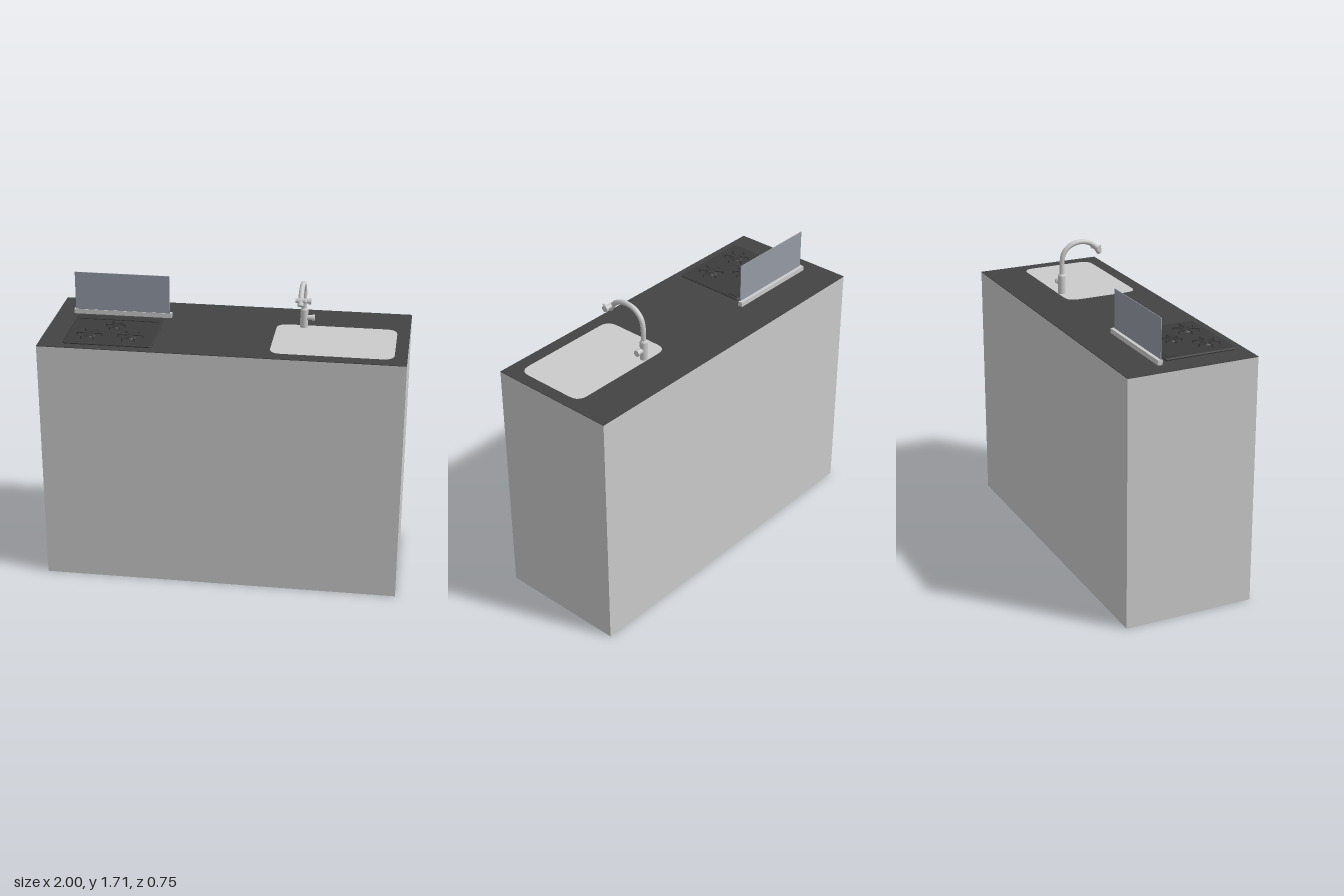
import * as THREE from 'three';

const mat = (color) => new THREE.MeshStandardMaterial({ color });
const grey = mat(0xcccccc);
const dark = mat(0x434343);
const black = mat(0x3c3c3c);
const glass = mat(0x959ba6);
const TOP = 1.41; // worktop height

function add(parent, name, geometry, material, x = 0, y = 0, z = 0) {
  const mesh = new THREE.Mesh(geometry, material);
  mesh.name = name;
  mesh.position.set(x, y, z);
  parent.add(mesh);
  return mesh;
}

// Rounded rectangle path in plan; plan y is -z
function roundedRect(path, x0, x1, z0, z1, r) {
  const y0 = -z1, y1 = -z0;
  path.moveTo(x0 + r, y0);
  path.lineTo(x1 - r, y0).quadraticCurveTo(x1, y0, x1, y0 + r);
  path.lineTo(x1, y1 - r).quadraticCurveTo(x1, y1, x1 - r, y1);
  path.lineTo(x0 + r, y1).quadraticCurveTo(x0, y1, x0, y1 - r);
  path.lineTo(x0, y0 + r).quadraticCurveTo(x0, y0, x0 + r, y0);
  return path;
}

const slab = (shape, depth, options = {}) =>
  new THREE.ExtrudeGeometry(shape, { depth, bevelEnabled: false, curveSegments: 5, ...options }).rotateX(-Math.PI / 2);

// Cylinder along x or y
function rod(radius, length, alongX = false) {
  const g = new THREE.CylinderGeometry(radius, radius, length, 16);
  return alongX ? g.rotateZ(Math.PI / 2) : g;
}

function createBurner(x, z, radius) {
  const burner = new THREE.Group();
  burner.name = 'burner';
  burner.position.set(x, TOP + 0.012, z);
  add(burner, 'burnerRing', new THREE.CylinderGeometry(radius * 0.4, radius * 0.48, 0.006, 20), black, 0, 0.003, 0);
  add(burner, 'burnerCap', new THREE.CylinderGeometry(radius * 0.26, radius * 0.3, 0.006, 20), black, 0, 0.009, 0);
  // Six-armed pan support with a foot under each arm
  for (let i = 0; i < 6; i++) {
    const arm = new THREE.Group();
    arm.name = 'panSupport';
    arm.rotation.y = (i * Math.PI) / 3;
    add(arm, 'supportArm', new THREE.BoxGeometry(radius * 0.78, 0.005, 0.006), black, radius * 0.61, 0.0135, 0);
    add(arm, 'supportFoot', new THREE.BoxGeometry(0.006, 0.014, 0.006), black, radius - 0.003, 0.007, 0);
    burner.add(arm);
  }
  return burner;
}

function createHob() {
  const hob = new THREE.Group();
  hob.name = 'hob';
  const plate = roundedRect(new THREE.Shape(), -0.86, -0.38, -0.088, 0.32, 0.01);
  add(hob, 'hobPlate', slab(plate, 0.004, {
    bevelEnabled: true, bevelThickness: 0.004, bevelSize: 0.006, bevelSegments: 1,
  }), black, 0, TOP + 0.004, 0);
  // Raised vent strip along the back
  add(hob, 'ventStrip', new THREE.BoxGeometry(0.455, 0.006, 0.05), black, -0.62, TOP + 0.013, -0.047);
  hob.add(createBurner(-0.62, 0.07, 0.055));
  for (const x of [-0.738, -0.511]) hob.add(createBurner(x, 0.212, 0.072));
  return hob;
}

function createSplashback() {
  const group = new THREE.Group();
  group.name = 'splashback';
  add(group, 'splashbackRail', new THREE.BoxGeometry(0.56, 0.027, 0.026), grey, -0.623, TOP + 0.0135, -0.142);
  add(group, 'splashbackPane', new THREE.BoxGeometry(0.54, 0.225, 0.004), glass, -0.623, 1.5455, -0.134);
  return group;
}

function createTap() {
  const tap = new THREE.Group();
  tap.name = 'tap';
  tap.position.set(0.41, 0, 0);
  add(tap, 'tapBody', rod(0.022, 0.105), grey, 0, TOP + 0.0525, -0.106);
  add(tap, 'tapCollar', new THREE.CylinderGeometry(0.016, 0.022, 0.01, 16), grey, 0, 1.52, -0.106);
  // Swan neck
  const neck = new THREE.CatmullRomCurve3([
    [1.51, -0.104], [1.59, -0.103], [1.645, -0.09], [1.685, -0.05],
    [1.7, 0.005], [1.692, 0.06], [1.668, 0.1], [1.635, 0.126],
  ].map(([y, z]) => new THREE.Vector3(0, y, z)));
  add(tap, 'tapNeck', new THREE.TubeGeometry(neck, 28, 0.0145, 12), grey);
  const nozzle = add(tap, 'tapNozzle', rod(0.017, 0.035), grey, 0, 1.638, 0.125);
  nozzle.rotation.x = -0.6;
  // Side valves on the body and on the spout
  add(tap, 'bodyValve', rod(0.014, 0.045, true), grey, 0.032, 1.467, -0.106);
  add(tap, 'bodyValveKnob', rod(0.018, 0.014, true), grey, 0.052, 1.467, -0.106);
  add(tap, 'spoutValve', rod(0.014, 0.075, true), grey, 0.01, 1.65, 0.12);
  add(tap, 'spoutValveKnob', rod(0.018, 0.014, true), grey, 0.05, 1.65, 0.12);
  const lever = add(tap, 'spoutLever', rod(0.005, 0.03), grey, 0.03, 1.653, 0.142);
  lever.rotation.x = Math.PI / 2;
  return tap;
}

export function createModel() {
  const model = new THREE.Group();
  model.name = 'kitchenIsland';

  add(model, 'cabinet', new THREE.BoxGeometry(2, 1.407, 0.746), grey, 0, 0.7035, 0);

  // Worktop with a cut-out filled by the flush sink
  const sinkArea = [0.26, 0.93, -0.13, 0.3, 0.065];
  const top = roundedRect(new THREE.Shape(), -1, 1, -0.373, 0.373, 0);
  top.holes.push(roundedRect(new THREE.Path(), ...sinkArea));
  add(model, 'worktop', slab(top, 0.003), dark, 0, 1.407, 0);
  add(model, 'sink', slab(roundedRect(new THREE.Shape(), ...sinkArea), 0.003), grey, 0, 1.407, 0);

  model.add(createHob(), createSplashback(), createTap());
  return model;
}
